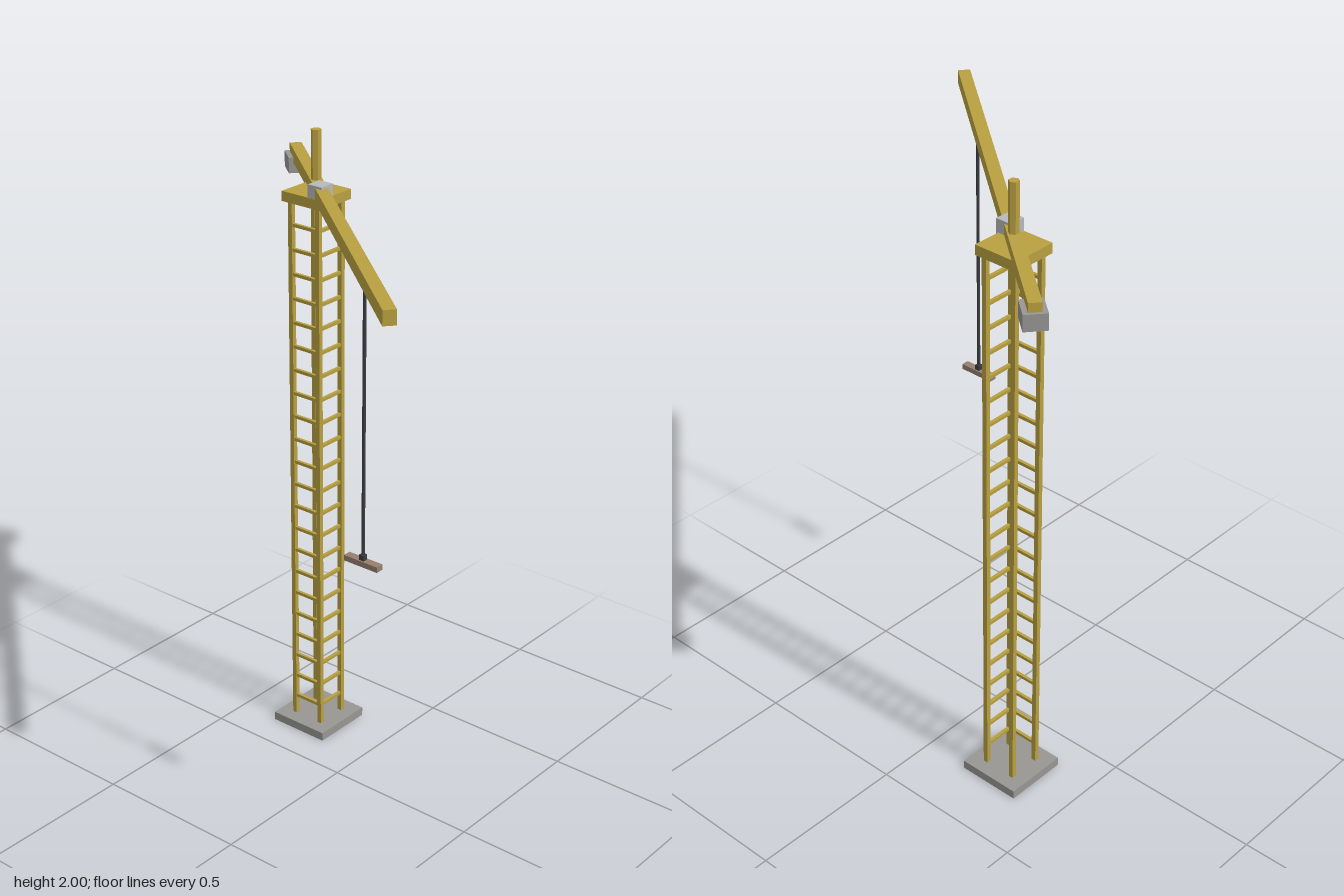
import * as THREE from 'three';

const mat = (name, color) => new THREE.MeshStandardMaterial({ name, color });

export function createModel() {
  const yellow = mat('yellow steel', 0xb8a040);
  const concrete = mat('concrete grey', 0x979693);
  const cabGrey = mat('cab light grey', 0xb6b8bc);
  const cableDark = mat('cable dark grey', 0x3a3d40);
  const loadBrown = mat('load brown', 0x96806f);

  const crane = new THREE.Group();
  crane.name = 'towerCrane';

  const box = (parent, name, material, size, pos) => {
    const mesh = new THREE.Mesh(new THREE.BoxGeometry(...size), material);
    mesh.name = name;
    mesh.position.set(...pos);
    parent.add(mesh);
    return mesh;
  };

  // Everything is placed relative to the tower axis
  const tower = new THREE.Group();
  tower.name = 'tower';
  tower.position.set(-0.258, 0, -0.214);
  crane.add(tower);

  box(tower, 'base', concrete, [0.205, 0.028, 0.205], [0, 0.014, 0]);

  // Four corner legs
  const half = 0.052;
  for (const sx of [-1, 1]) {
    for (const sz of [-1, 1]) {
      box(tower, 'leg', yellow, [0.015, 1.76, 0.015], [sx * half, 0.908, sz * half]);
    }
  }

  // Ladder rungs on the front and right faces only
  for (let i = 0; i < 22; i++) {
    const y = 0.094 + i * 0.0771;
    box(tower, 'frontRung', yellow, [2 * half, 0.01, 0.01], [0, y, half]);
    box(tower, 'sideRung', yellow, [0.01, 0.01, 2 * half], [half, y, 0]);
  }

  box(tower, 'platform', yellow, [0.144, 0.031, 0.144], [0, 1.801, 0]);

  // Six-sided mast above the platform
  const mast = new THREE.Mesh(
    new THREE.CylinderGeometry(0.0155, 0.0155, 0.19, 6).toNonIndexed(), yellow);
  mast.geometry.computeVertexNormals();
  mast.name = 'mast';
  mast.position.y = 1.905;
  tower.add(mast);

  // Slewed jib with its counterweight
  const slew = THREE.MathUtils.degToRad(40);
  const jib = new THREE.Group();
  jib.name = 'jibAssembly';
  jib.rotation.y = -slew;
  tower.add(jib);
  box(jib, 'jib', yellow, [1.448, 0.043, 0.037], [0.348, 1.828, 0]);
  box(jib, 'counterweight', concrete, [0.08, 0.049, 0.066], [-0.346, 1.798, 0]);

  // Cab, hanging cable and load stay square to the tower
  const along = (d, y) => [d * Math.cos(slew), y, d * Math.sin(slew)];
  box(tower, 'cab', cabGrey, [0.052, 0.047, 0.052], along(0.07, 1.833));

  const cable = new THREE.Mesh(new THREE.CylinderGeometry(0.005, 0.005, 0.82, 6), cableDark);
  cable.name = 'cable';
  cable.position.set(...along(0.75, 1.4));
  tower.add(cable);

  box(tower, 'hookBlock', cableDark, [0.016, 0.018, 0.016], along(0.75, 0.99));
  box(tower, 'loadBeam', loadBrown, [0.118, 0.017, 0.025], along(0.75, 0.974));

  return crane;
}
